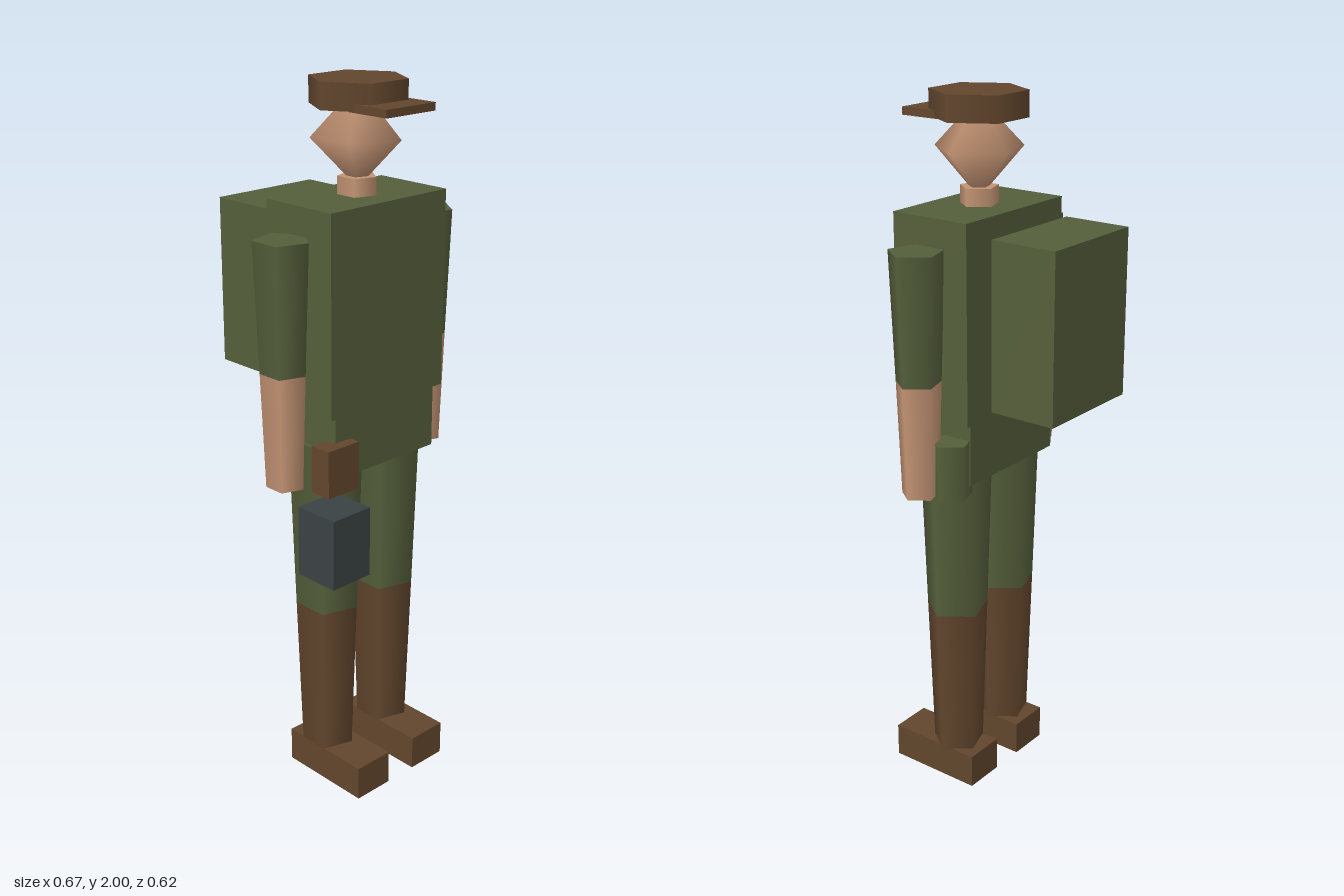
import * as THREE from 'three';

function paint(name, color) {
  const m = new THREE.MeshStandardMaterial({ color });
  m.name = name;
  return m;
}

export function createModel() {
  const model = new THREE.Group();
  model.name = 'hiker';
  const green = paint('cloth green', 0x555f3b);
  const brown = paint('leather brown', 0x62462d);
  const skin = paint('skin', 0xc49474);
  const dark = paint('dark metal', 0x3b4244);

  // The body axis sits slightly off the centre of the whole outline
  const CX = -0.006, CZ = 0.054;

  function add(name, geometry, material, x, y, z) {
    const mesh = new THREE.Mesh(geometry, material);
    mesh.name = name;
    mesh.position.set(x, y, z);
    model.add(mesh);
    return mesh;
  }

  // Box given by its limits on each axis
  function box(name, material, [x0, x1], [y0, y1], [z0, z1]) {
    return add(name, new THREE.BoxGeometry(x1 - x0, y1 - y0, z1 - z0), material,
      (x0 + x1) / 2, (y0 + y1) / 2, (z0 + z1) / 2);
  }

  // Upright tapered prism with one corner towards +x
  function prism(name, material, x, z, y0, y1, r0, r1, sides = 5) {
    const g = new THREE.CylinderGeometry(r1, r0, y1 - y0, sides).rotateY(Math.PI / 2);
    return add(name, g, material, x, (y0 + y1) / 2, z);
  }

  // Trunk
  box('torso', green, [-0.215, 0.203], [1.155, 1.702], [-0.067, 0.174]);
  box('hips', green, [-0.193, 0.179], [0.978, 1.155], [-0.057, 0.165]);

  // Limbs, mirrored about the body axis
  for (const [side, s] of [['left', 1], ['right', -1]]) {
    const armX = CX + s * 0.2645, legX = CX + s * 0.111;
    prism(side + 'Sleeve', green, armX, CZ, 1.272, 1.625, 0.064, 0.077);
    prism(side + 'Forearm', skin, armX, CZ, 0.952, 1.272, 0.053, 0.064);
    prism(side + 'TrouserLeg', green, legX, CZ, 0.55, 1.052, 0.091, 0.107);
    prism(side + 'Boot', brown, legX, CZ, 0.098, 0.55, 0.076, 0.091);
    box(side + 'Shoe', brown, [legX - 0.061, legX + 0.061], [0, 0.1], [-0.044, 0.242]);
  }

  // Neck and faceted head
  prism('neck', skin, CX, CZ, 1.70, 1.75, 0.0545, 0.0545);
  const head = new THREE.SphereGeometry(0.125, 5, 2).rotateY(Math.PI).scale(1, 1.06, 1);
  add('head', head, skin, CX, 1.85, CZ);

  // Cap
  prism('capCrown', brown, CX, CZ, 1.93, 2.0, 0.132, 0.132, 6);
  box('capPeak', brown, [-0.093, 0.081], [1.927, 1.948], [0.11, 0.242]);

  // Carried gear
  box('backpack', green, [-0.172, 0.159], [1.197, 1.66], [-0.31, -0.113]);
  prism('canteen', green, 0.204, -0.012, 0.95, 1.106, 0.058, 0.058);
  box('beltPouch', brown, [-0.248, -0.138], [0.95, 1.084], [0.131, 0.197]);
  box('lantern', dark, [-0.336, -0.205], [0.756, 0.951], [0.175, 0.307]);

  return model;
}
